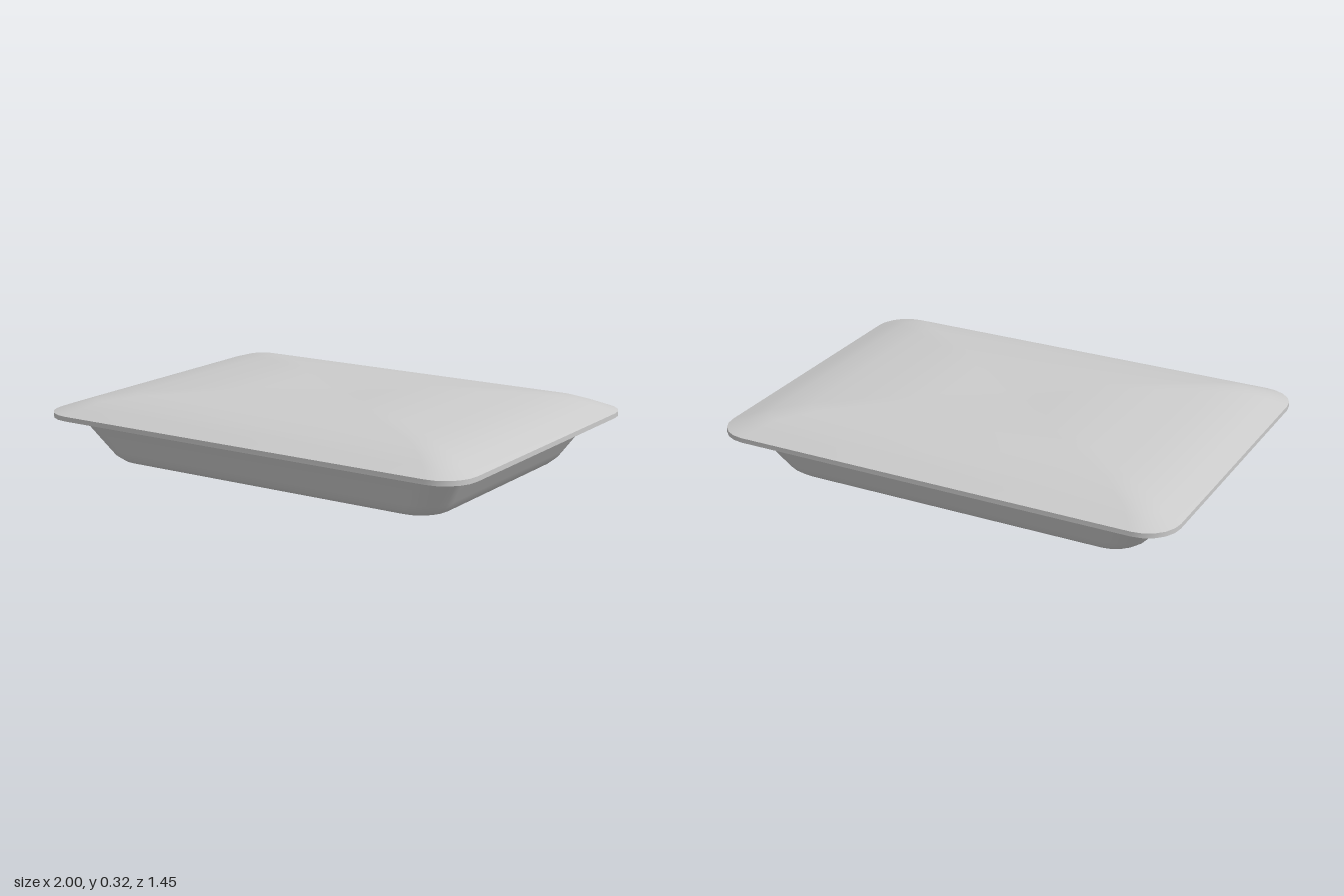
import * as THREE from 'three';
import { toCreasedNormals } from 'three/addons/utils/BufferGeometryUtils.js';

const CORNER_STEPS = 5;

// Points of a rounded rectangle at height y, counter-clockwise seen from below
function ring([hx, hz, r, y]) {
  const pts = [];
  const signs = [[1, 1], [-1, 1], [-1, -1], [1, -1]];
  signs.forEach(([sx, sz], q) => {
    for (let i = 0; i <= CORNER_STEPS; i++) {
      const a = (q + i / CORNER_STEPS) * Math.PI / 2;
      pts.push(sx * (hx - r) + r * Math.cos(a), y, sz * (hz - r) + r * Math.sin(a));
    }
  });
  return pts;
}

// Skin through rings listed from bottom to top, closed at either end on request
function loft(sections, { bottom, top } = {}) {
  const n = 4 * (CORNER_STEPS + 1);
  const pos = sections.flatMap(ring);
  const index = [];
  for (let k = 0; k < sections.length - 1; k++) {
    for (let i = 0; i < n; i++) {
      const a = k * n + i, b = k * n + (i + 1) % n;
      index.push(a, a + n, b, b, a + n, b + n);
    }
  }
  const cap = (k, y, up) => {
    const c = pos.length / 3;
    pos.push(0, y, 0);
    for (let i = 0; i < n; i++) {
      const a = k * n + i, b = k * n + (i + 1) % n;
      if (up) index.push(a, c, b); else index.push(a, b, c);
    }
  };
  if (bottom !== undefined) cap(0, bottom, false);
  if (top !== undefined) cap(sections.length - 1, top, true);
  const geo = new THREE.BufferGeometry();
  geo.setAttribute('position', new THREE.Float32BufferAttribute(pos, 3));
  geo.setIndex(index);
  return toCreasedNormals(geo, 0.75);
}

export function createModel() {
  const group = new THREE.Group();
  const material = new THREE.MeshStandardMaterial({ color: 0xcccccc, side: THREE.DoubleSide });
  const add = (name, geo) => {
    const mesh = new THREE.Mesh(geo, material);
    mesh.name = name;
    group.add(mesh);
  };

  // Tray: flat floor, rounded foot, sloping walls, flared flange
  add('tray', loft([
    [0.74, 0.50, 0.10, 0.002],
    [0.78, 0.535, 0.12, 0.009],
    [0.805, 0.56, 0.13, 0.03],
    [0.825, 0.575, 0.13, 0.06],
    [0.89, 0.625, 0.13, 0.16],
    [0.905, 0.64, 0.13, 0.183],
    [0.925, 0.655, 0.13, 0.196],
    [0.95, 0.675, 0.13, 0.2],
    [1, 0.725, 0.14, 0.2],
  ], { bottom: 0 }));

  // Rim: thin upright edge of the flange
  add('rim', loft([
    [1, 0.725, 0.14, 0.2],
    [1, 0.725, 0.14, 0.22],
  ]));

  // Film lid: domed cover with soft diagonal ridges and a sunken middle
  add('filmLid', loft([
    [1, 0.725, 0.14, 0.22],
    [0.925, 0.665, 0.11, 0.247],
    [0.84, 0.6, 0.08, 0.273],
    [0.7, 0.49, 0.06, 0.292],
    [0.5, 0.36, 0.05, 0.306],
    [0.32, 0.235, 0.04, 0.317],
    [0.16, 0.1, 0.03, 0.309],
  ], { top: 0.306 }));

  return group;
}
